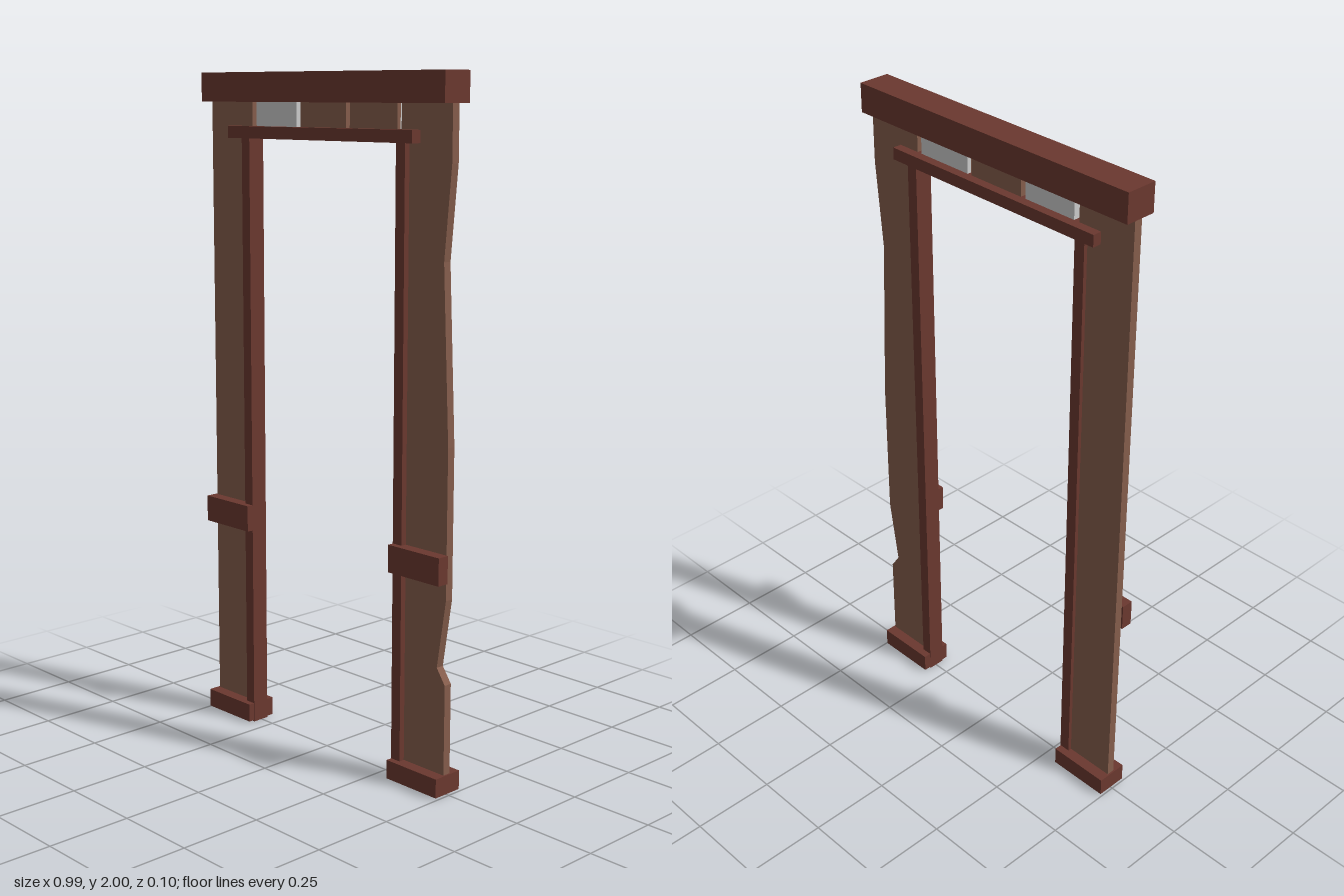
import * as THREE from 'three';

const dark = new THREE.MeshStandardMaterial({ color: 0x6b382f, flatShading: true });
const wood = new THREE.MeshStandardMaterial({ color: 0x855d4c, flatShading: true });
const grey = new THREE.MeshStandardMaterial({ color: 0xcccccc, flatShading: true });

// Box given by its lower and upper limits on each axis
function block(name, material, [x0, x1], [y0, y1], [z0, z1]) {
  const mesh = new THREE.Mesh(new THREE.BoxGeometry(x1 - x0, y1 - y0, z1 - z0), material);
  mesh.position.set((x0 + x1) / 2, (y0 + y1) / 2, (z0 + z1) / 2);
  mesh.name = name;
  return mesh;
}

// Flat board cut from an outline
function board(name, points) {
  const shape = new THREE.Shape(points.map(([x, y]) => new THREE.Vector2(x, y)));
  const geometry = new THREE.ExtrudeGeometry(shape, { depth: 0.025, bevelEnabled: false });
  const mesh = new THREE.Mesh(geometry, wood);
  mesh.position.z = -0.0125;
  mesh.name = name;
  return mesh;
}

export function createModel() {
  const model = new THREE.Group();
  model.name = 'doorFrame';

  // Head beam and the slimmer lintel over the opening
  model.add(block('headBeam', dark, [-0.495, 0.495], [1.915, 2], [-0.047, 0.049]));
  model.add(block('lintel', dark, [-0.38, 0.375], [1.81, 1.845], [-0.04, 0.045]));

  // Matching foot, rail and post on each side
  for (const side of [-1, 1]) {
    const label = side < 0 ? 'right' : 'left';
    const span = (a, b) => (side < 0 ? [-b, -a] : [a, b]);
    model.add(block(label + 'Foot', dark, span(0.302, 0.495), [0.004, 0.06], [-0.047, 0.049]));
    model.add(block(label + 'Rail', dark, span(0.302, 0.495), [0.62, 0.7], [0.0125, 0.049]));
    model.add(block(label + 'Post', dark, span(0.301, 0.335), [0, 1.815], [-0.024, 0.03]));
  }

  // Side boards: one straight, one with a broken outer edge
  model.add(board('rightBoard', [[-0.49, 0.03], [-0.305, 0.03], [-0.305, 1.93], [-0.49, 1.93]]));
  model.add(board('leftBoard', [
    [0.305, 0.03], [0.49, 0.03], [0.49, 0.325], [0.459, 0.37], [0.49, 0.57],
    [0.49, 1.0], [0.466, 1.5], [0.49, 1.76], [0.49, 1.93], [0.305, 1.93],
  ]));

  // Small panels between lintel and beam, with narrow gaps
  const height = [1.835, 1.925];
  model.add(block('rightPane', grey, [-0.287, -0.113], height, [-0.0125, 0.0125]));
  model.add(block('middlePanel', wood, [-0.096, 0.09], height, [-0.0125, 0.0125]));
  model.add(block('leftPane', grey, [0.105, 0.289], height, [-0.0125, 0]));
  model.add(block('leftPaneCover', wood, [0.105, 0.289], height, [0, 0.0125]));
  return model;
}
